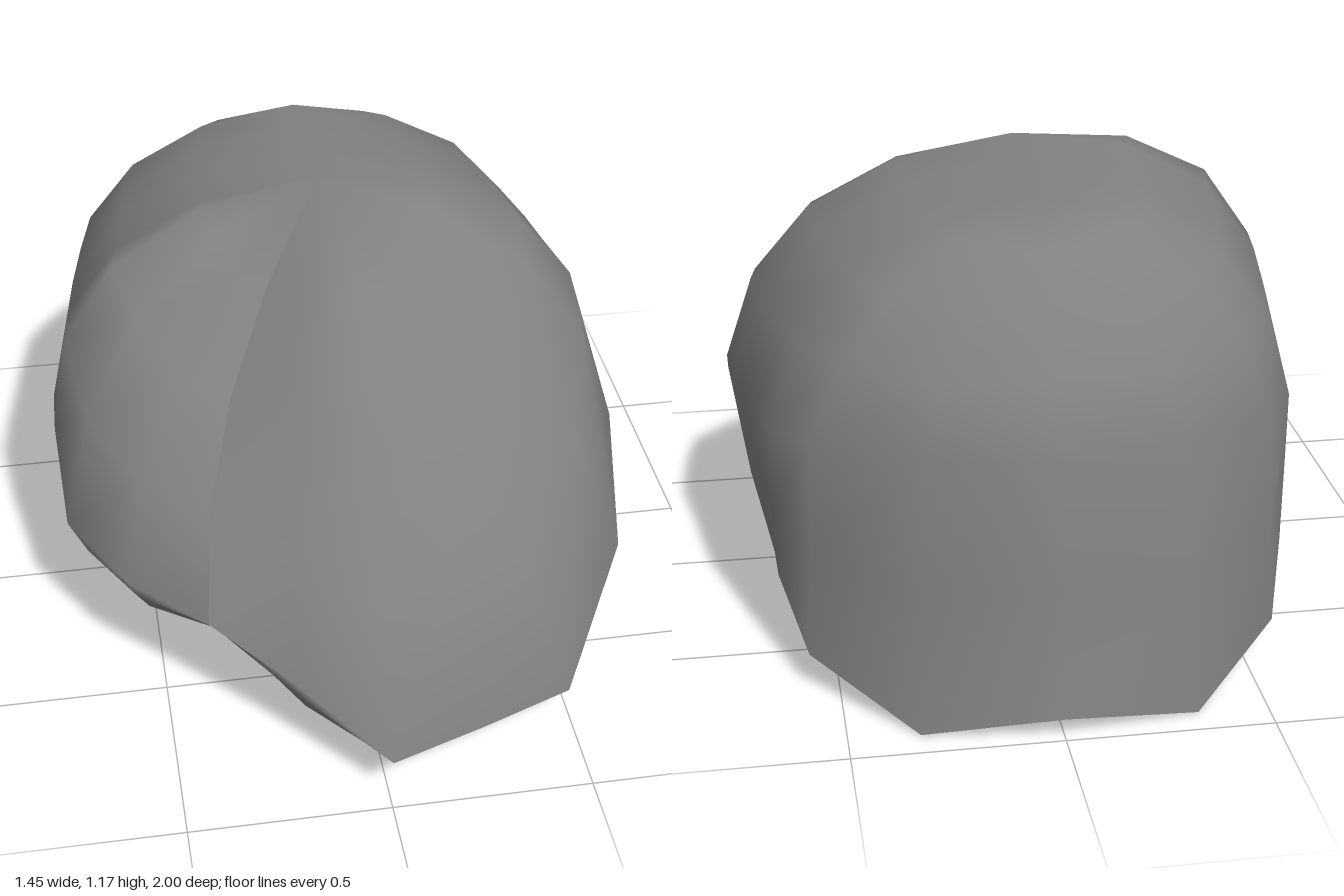
import * as THREE from 'three';

// Crown ridge, running front to back, where all strands end
const RIDGE_FRONT = new THREE.Vector3(-0.02, 1.177, -0.03);
const RIDGE_BACK = new THREE.Vector3(-0.02, 1.15, -0.46);
const ARC_STEPS = 4;

// Flat forehead wall behind the fringe: facing direction, distance, lower edge
const FOREHEAD = new THREE.Vector3(0.545, 0, 0.839);
const FOREHEAD_DISTANCE = 0.495;
const FOREHEAD_BASE = 0.2;

// Each column: rim x,y,z, widest point x,y,z, bulge of the arc, optional sideways bulge
const PART = [-0.36, 0.3, 0.62, -0.4, 0.36, 0.67, -0.02, 0.22];
const FRINGE = [
  [-0.18, 0.16, 0.78, -0.2, 0.27, 0.83, 0.04, 0.2],
  [0, 0.03, 0.79, 0, 0.155, 1, 0.07],
  [0.25, 0.02, 0.73, 0.24, 0.16, 0.92, 0.075],
  [0.5, 0.01, 0.65, 0.47, 0.17, 0.84, 0.08],
  [0.62, 0.1, 0.4, 0.68, 0.32, 0.49, 0.12],
  [0.66, 0.21, 0.07, 0.72, 0.52, 0.2, 0.18],
];
// Side lock, notch behind it and the nape; mirrored for the other side
const SIDE = [
  [0.61, 0.003, -0.1, 0.72, 0.58, -0.03, 0.21],
  [0.63, 0.15, -0.2, 0.69, 0.58, -0.2, 0.21],
  [0.64, 0.28, -0.33, 0.67, 0.6, -0.33, 0.2],
  [0.63, 0.23, -0.52, 0.64, 0.62, -0.5, 0.18],
  [0.57, 0.1, -0.69, 0.55, 0.64, -0.66, 0.14],
  [0.33, 0.005, -0.93, 0.31, 0.66, -0.83, 0.09],
];
const NAPE = [0, 0.06, -1, 0, 0.67, -0.9, 0.07];
const TEMPLE = [
  [-0.66, 0.21, 0.07, -0.725, 0.57, 0.1, 0.25],
  [-0.6, 0.22, 0.3, -0.715, 0.4, 0.28, 0.19],
  [-0.53, 0.27, 0.48, -0.58, 0.37, 0.5, 0.06, 0.2],
];

const mirror = ([x, y, z, ex, ey, ez, bulge]) => [-x, y, z, -ex, ey, ez, bulge * 1.1];

// One strand line from the rim, over the widest point, up to the crown ridge
function strand([x, y, z, ex, ey, ez, bulge, sideBulge = bulge]) {
  const rim = new THREE.Vector3(x, y, z);
  const wide = new THREE.Vector3(ex, ey, ez);
  const mid = rim.clone().lerp(wide, 0.6);
  mid.y = (y + ey) / 2;
  const along = (RIDGE_FRONT.z - ez) / (RIDGE_FRONT.z - RIDGE_BACK.z);
  const top = RIDGE_FRONT.clone().lerp(RIDGE_BACK, THREE.MathUtils.clamp(along, 0, 1));
  const points = [rim, mid];
  for (let k = 0; k <= ARC_STEPS; k++) {
    const t = k / ARC_STEPS;
    const hump = 4 * t * (1 - t);
    points.push(new THREE.Vector3(
      top.x + (ex - top.x) * (1 - t + sideBulge * hump),
      ey + (top.y - ey) * (t + bulge * hump),
      top.z + (ez - top.z) * (1 - t + bulge * hump),
    ));
  }
  return points;
}

// Inner surface point; thin along the nape rim, cut flat at the forehead
function inset(v, row) {
  const thick = row === 0 ? THREE.MathUtils.clamp((v.z + 0.6) / 0.3, 0.05, 1) : 1;
  const p = new THREE.Vector3(
    v.x * (1 - 0.06 * thick),
    v.y - 0.04 * v.y * v.y * thick,
    v.z - 0.055 * (v.z + 0.05) * thick,
  );
  const excess = p.dot(FOREHEAD) - FOREHEAD_DISTANCE;
  if (row > 0 && excess > 0) {
    p.addScaledVector(FOREHEAD, -excess);
    p.y = Math.max(p.y, FOREHEAD_BASE + 0.01 * row);
  }
  return p;
}

// Skin a list of columns; the open seam at the parting stays a sharp crease
function skin(columns, flip, crown) {
  const rows = columns[0].length;
  const index = [];
  for (let i = 0; i < columns.length - 1; i++) {
    for (let j = 0; j < rows - 1; j++) {
      const a = i * rows + j, b = a + rows, c = b + 1, d = a + 1;
      for (const [u, v, w] of [[a, b, c], [a, c, d]]) {
        index.push(...(flip ? [u, w, v] : [u, v, w]));
      }
    }
  }
  const geo = new THREE.BufferGeometry().setFromPoints(columns.flat());
  geo.setIndex(index);
  geo.computeVertexNormals();
  if (crown) {
    for (let i = 0; i < columns.length; i++) {
      geo.attributes.normal.setXYZ(i * rows + rows - 1, 0, flip ? -1 : 1, 0);
    }
  }
  return geo;
}

export function createModel() {
  const group = new THREE.Group();
  group.name = 'hair';
  const hairGrey = new THREE.MeshStandardMaterial({ color: 0x808080 });
  hairGrey.name = 'hair grey';

  const outer = [
    PART, ...FRINGE, ...SIDE, NAPE, ...SIDE.map(mirror).reverse(), ...TEMPLE, PART,
  ].map(strand);
  const inner = outer.map((column) => column.map(inset));
  const edge = outer.map((column, i) => [inner[i][0], column[0]]);

  const add = (name, geometry) => {
    const mesh = new THREE.Mesh(geometry, hairGrey);
    mesh.name = name;
    group.add(mesh);
  };
  add('outerHair', skin(outer, false, true));
  add('innerHair', skin(inner.map((column) => column.slice(1)), true, true));
  add('innerLip', skin(inner.map((column) => column.slice(0, 2)), true, false));
  add('hairEdge', skin(edge, false, false));
  return group;
}
